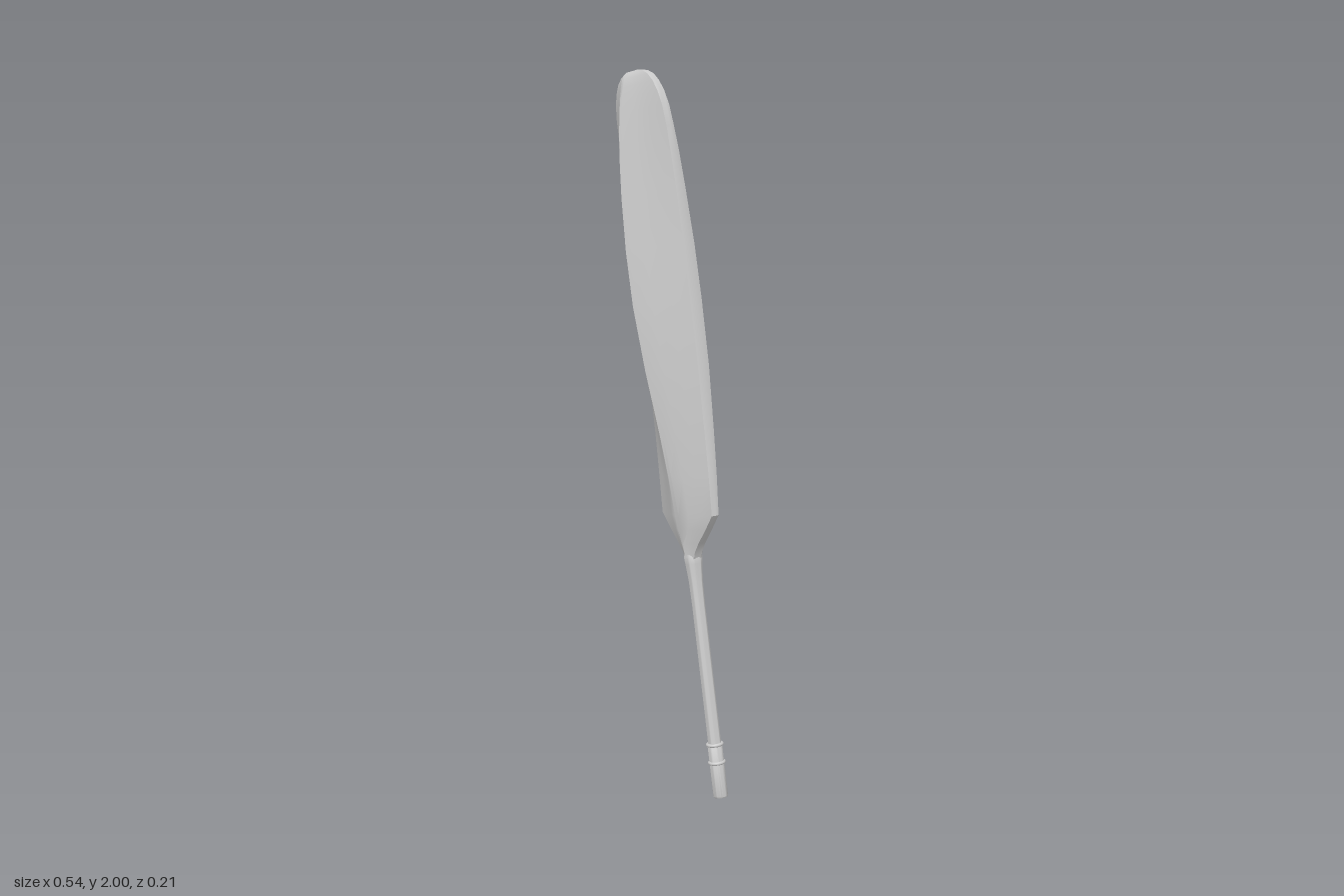
import * as THREE from 'three';
import { toCreasedNormals } from 'three/addons/utils/BufferGeometryUtils.js';

const material = new THREE.MeshStandardMaterial({ color: 0xcccccc });

// Blade stations: [height, half width, edge back, edge front, back crown, ridge offset, ridge height]
const stations = [
  [0.685, 0.024, -0.012, 0.012, -0.025, 0, 0.025],
  [0.705, 0.034, -0.012, 0.012, -0.025, 0, 0.027],
  [0.73, 0.056, -0.013, 0.011, -0.025, 0, 0.031],
  [0.77, 0.098, -0.015, 0.008, -0.026, 0, 0.036],
  [0.81, 0.136, -0.018, 0.005, -0.028, 0, 0.04],
  [0.92, 0.137, -0.026, 0.001, -0.038, -0.005, 0.047],
  [1.04, 0.137, -0.033, -0.002, -0.046, -0.01, 0.057],
  [1.22, 0.137, -0.041, -0.005, -0.054, -0.016, 0.076],
  [1.4, 0.137, -0.042, -0.005, -0.056, -0.02, 0.089],
  [1.55, 0.137, -0.039, -0.004, -0.053, -0.02, 0.091],
  [1.7, 0.137, -0.031, -0.001, -0.045, -0.018, 0.086],
  [1.8, 0.137, -0.024, 0.003, -0.038, -0.016, 0.079],
  [1.87, 0.135, -0.018, 0.006, -0.032, -0.014, 0.072],
  [1.925, 0.13, -0.014, 0.009, -0.027, -0.013, 0.064],
  [1.965, 0.119, -0.01, 0.012, -0.022, -0.012, 0.057],
  [1.995, 0.103, -0.007, 0.014, -0.017, -0.011, 0.05],
  [2.017, 0.083, -0.004, 0.016, -0.012, -0.01, 0.044],
  [2.03, 0.06, 0, 0.017, -0.007, -0.01, 0.036],
  [2.036, 0.035, 0.004, 0.018, 0.001, -0.009, 0.027],
];

// One section, running from the left edge round the back to the front ridge
function section([y, w, eb, ef, crown, ru, ridge]) {
  const loop = [];
  const add = (x, z) => loop.push([x, y, z]);
  const mid = (eb + ef) / 2;
  const back = (t) => crown + (eb - crown) * t * t;
  add(w * 0.985, ef);
  add(w, mid);
  add(w * 0.975, eb);
  for (const t of [0.8, 0.4, 0, -0.4, -0.8]) add(w * t, back(t));
  add(-w * 0.975, eb);
  add(-w, mid);
  add(-w * 0.985, ef);
  // Slightly hollow flanks meeting at a soft ridge
  const flank = (side, t) => {
    const edge = side * w * 0.985;
    add(edge + (ru - edge) * t, ef + (ridge - ef) * (t - 0.12 * t * (1 - t)));
  };
  for (const t of [0.33, 0.66, 0.93]) flank(-1, t);
  add(ru, ridge - (ridge - ef) * 0.02);
  for (const t of [0.93, 0.66, 0.33]) flank(1, t);
  return loop;
}

function loft(rings) {
  const n = rings[0].length;
  const positions = rings.flat(2);
  const index = [];
  for (let i = 0; i < rings.length - 1; i++) {
    for (let j = 0; j < n; j++) {
      const a = i * n + j, b = i * n + (j + 1) % n;
      index.push(a, b, b + n, a, b + n, a + n);
    }
  }
  // Close both ends
  for (const [ring, top] of [[0, false], [rings.length - 1, true]]) {
    const centre = positions.length / 3;
    for (let k = 0; k < 3; k++) {
      positions.push(rings[ring].reduce((sum, p) => sum + p[k], 0) / n);
    }
    for (let j = 0; j < n; j++) {
      const a = ring * n + j, b = ring * n + (j + 1) % n;
      index.push(centre, top ? a : b, top ? b : a);
    }
  }
  const geometry = new THREE.BufferGeometry();
  geometry.setAttribute('position', new THREE.Float32BufferAttribute(positions, 3));
  geometry.setIndex(index);
  return toCreasedNormals(geometry, 0.6);
}

function turned(name, profile) {
  const points = profile.map(([r, y]) => new THREE.Vector2(r, y));
  const mesh = new THREE.Mesh(toCreasedNormals(new THREE.LatheGeometry(points, 32), 0.6), material);
  mesh.name = name;
  return mesh;
}

export function createModel() {
  const bat = new THREE.Group();
  bat.name = 'bat';

  const blade = new THREE.Mesh(loft(stations.map(section)), material);
  blade.name = 'blade';
  bat.add(blade);

  // Handle flaring into the blade's neck
  bat.add(turned('handle', [
    [0, 0.13], [0.0185, 0.13], [0.0185, 0.55], [0.02, 0.62], [0.024, 0.67], [0.026, 0.69], [0.02, 0.71], [0, 0.71],
  ]));
  bat.add(turned('gripEnd', [
    [0, 0], [0.019, 0], [0.021, 0.003], [0.021, 0.15], [0.0185, 0.156], [0, 0.156],
  ]));

  // Raised bands around the grip
  for (const y of [0.1, 0.152]) {
    const band = new THREE.Mesh(new THREE.TorusGeometry(0.0205, 0.005, 10, 32), material);
    band.rotation.x = Math.PI / 2;
    band.position.y = y;
    band.name = 'gripBand';
    bat.add(band);
  }

  // Lean the bat and turn it about its length
  const along = new THREE.Vector3(-0.21, 1, -0.07).normalize();
  const across = new THREE.Vector3(Math.cos(0.34), 0, Math.sin(0.34));
  across.addScaledVector(along, -across.dot(along)).normalize();
  const facing = new THREE.Vector3().crossVectors(across, along);
  bat.quaternion.setFromRotationMatrix(new THREE.Matrix4().makeBasis(across, along, facing));
  bat.position.set(0.255, 0.005, 0.088);

  const model = new THREE.Group();
  model.add(bat);
  return model;
}
